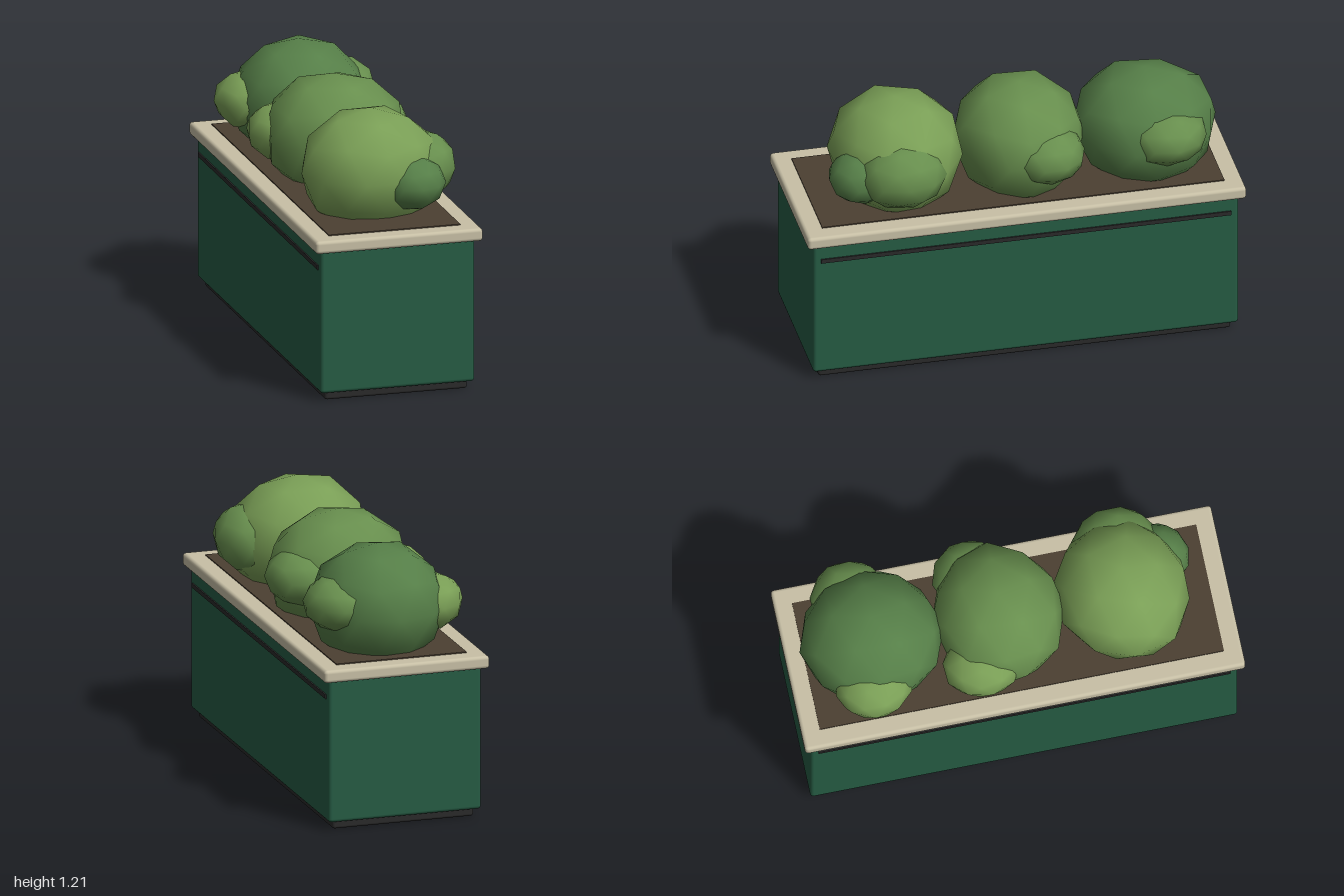
import * as THREE from 'three';
import { mergeVertices } from 'three/addons/utils/BufferGeometryUtils.js';
import { RoundedBoxGeometry } from 'three/addons/geometries/RoundedBoxGeometry.js';

const material = (color) => new THREE.MeshStandardMaterial({ color });
const green = material(0x265c44);
const cream = material(0xc8c0a6);
const dark = material(0x2a2a2a);
const earth = material(0x4c4032);
const light = material(0x7a9f56);
const mid = material(0x688f4e);
const deep = material(0x567f48);

// Smooth 42-point leaf ball with a corner on top and slight unevenness
function leafBall(radii, turn, seed) {
  const ball = new THREE.IcosahedronGeometry(1, 1);
  ball.deleteAttribute('uv');
  ball.deleteAttribute('normal');
  const geometry = mergeVertices(ball, 1e-3);
  geometry.rotateX(-Math.atan((1 + Math.sqrt(5)) / 2));
  geometry.rotateY(turn);
  const p = geometry.attributes.position;
  for (let i = 0; i < p.count; i++) {
    const top = p.getY(i) > 0.99;
    const k = top ? 1 : 1 + 0.03 * Math.sin(i * 12.9 + seed * 7.3);
    p.setXYZ(i, p.getX(i) * k, p.getY(i) * k, p.getZ(i) * k);
  }
  geometry.scale(...radii);
  geometry.computeVertexNormals();
  return geometry;
}

export function createModel() {
  const model = new THREE.Group();
  model.name = 'planterWithBushes';

  const add = (parent, name, geometry, mat, position) => {
    const mesh = new THREE.Mesh(geometry, mat);
    mesh.name = name;
    mesh.position.set(...position);
    parent.add(mesh);
  };

  // Planter box, from the ground up
  const planter = new THREE.Group();
  planter.name = 'planter';
  planter.position.x = -0.007;
  model.add(planter);
  const slab = (name, w, y0, y1, d, r, mat) =>
    add(planter, name, new RoundedBoxGeometry(w, y1 - y0, d, 2, r), mat, [0, (y0 + y1) / 2, 0]);
  slab('base', 0.66, 0, 0.045, 1.88, 0.012, dark);
  slab('body', 0.715, 0.038, 0.7, 1.94, 0.016, green);
  slab('rim', 0.775, 0.693, 0.752, 2, 0.016, cream);
  add(planter, 'soil', new THREE.BoxGeometry(0.61, 0.05, 1.835), earth, [0, 0.732, 0]);
  for (const side of [-1, 1]) {
    add(planter, 'sideStrip', new THREE.BoxGeometry(0.02, 0.02, 1.87), dark, [side * 0.354, 0.615, 0]);
  }

  // Each bush: one main ball and two side lobes [position, radii, material]
  const bushes = [
    { z: 0.52, radii: [0.33, 0.28, 0.305], turn: 0, mat: light, lobes: [
      [[0.205, 0.935, 0.53], [0.18, 0.16, 0.2], mid],
      [[0.14, 0.905, 0.705], [0.145, 0.125, 0.15], deep]] },
    { z: -0.05, radii: [0.325, 0.28, 0.3], turn: 0.25, mat: mid, lobes: [
      [[0.2, 0.94, -0.13], [0.165, 0.135, 0.17], mid],
      [[-0.21, 0.93, -0.16], [0.16, 0.13, 0.18], light]] },
    { z: -0.62, radii: [0.31, 0.28, 0.325], turn: Math.PI / 2, mat: deep, lobes: [
      [[0.2, 0.965, -0.68], [0.165, 0.125, 0.18], mid],
      [[-0.21, 0.935, -0.65], [0.165, 0.13, 0.18], light]] },
  ];
  bushes.forEach((b, n) => {
    const bush = new THREE.Group();
    bush.name = 'bush';
    model.add(bush);
    add(bush, 'bushCrown', leafBall(b.radii, b.turn, n), b.mat, [0, 0.93, b.z]);
    b.lobes.forEach(([position, radii, mat], i) =>
      add(bush, 'bushLobe', leafBall(radii, n + i, n * 2 + i + 3), mat, position));
  });
  return model;
}
